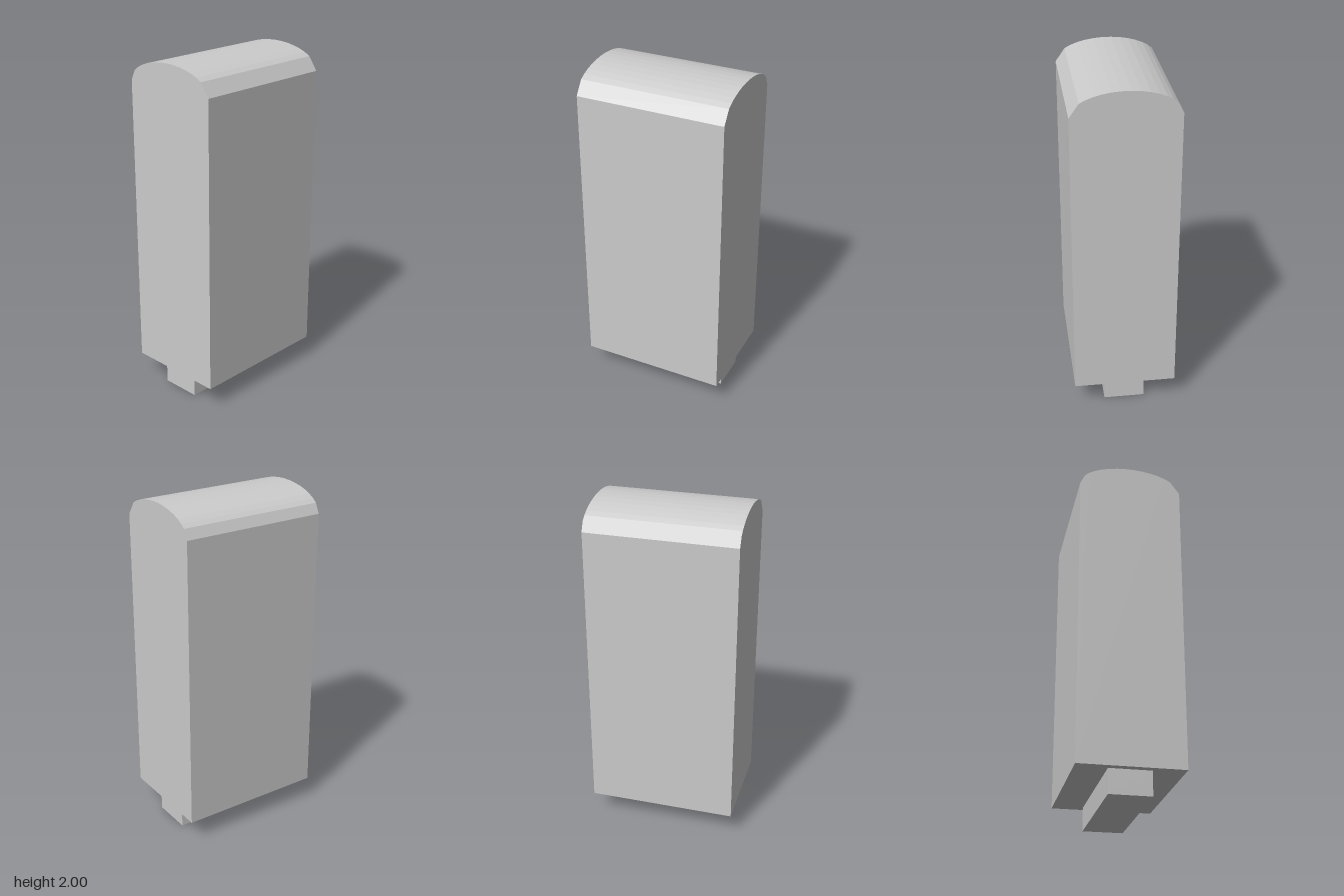
import * as THREE from 'three';

export function createModel() {
  const group = new THREE.Group();
  const material = new THREE.MeshStandardMaterial({ color: 0xcccccc, flatShading: true });
  const halfWidth = 0.3, depth = 0.87, baseY = 0.14, shoulderY = 1.865, topY = 2;

  // Body: upright slab with a faceted elliptical crown, chamfered wider on its left shoulder
  const profile = new THREE.Shape();
  profile.moveTo(-halfWidth, baseY);
  profile.lineTo(halfWidth, baseY);
  profile.lineTo(halfWidth, shoulderY);
  for (let degrees = 35; degrees <= 155; degrees += 10) {
    const a = THREE.MathUtils.degToRad(degrees);
    profile.lineTo(halfWidth * Math.cos(a), shoulderY + (topY - shoulderY) * Math.sin(a));
  }
  profile.lineTo(-halfWidth, shoulderY);
  profile.closePath();
  const bodyGeometry = new THREE.ExtrudeGeometry(profile, { depth, bevelEnabled: false });
  bodyGeometry.translate(0, 0, -depth / 2);
  const body = new THREE.Mesh(bodyGeometry, material);
  body.name = 'body';

  // Foot: narrow rail under the body
  const foot = new THREE.Mesh(new THREE.BoxGeometry(0.24, baseY, 0.78), material);
  foot.position.y = baseY / 2;
  foot.name = 'foot';

  group.add(body, foot);
  return group;
}
